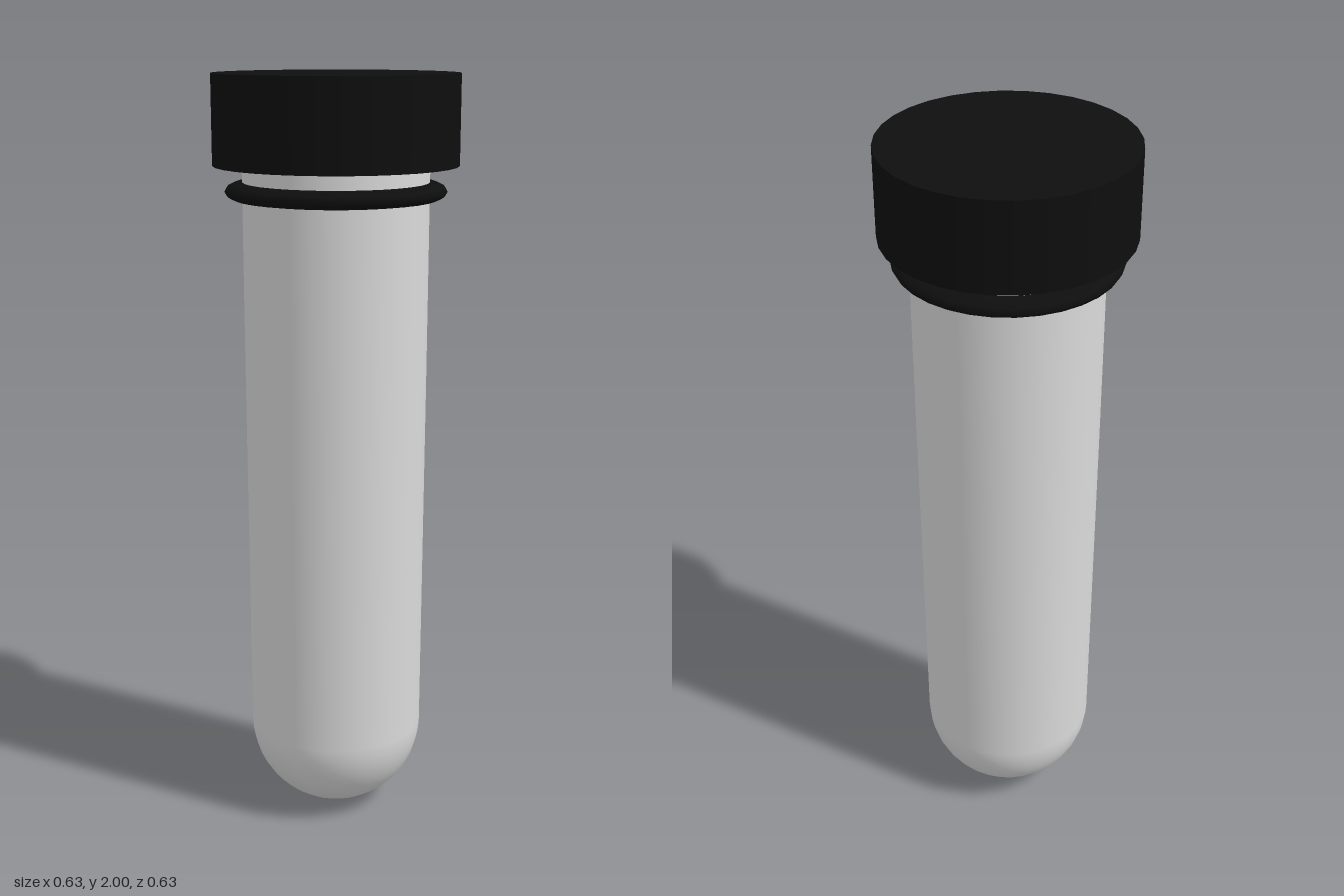
import * as THREE from 'three';

export function createModel() {
  const group = new THREE.Group();
  const black = new THREE.MeshStandardMaterial({ color: 0x0e0e0e });
  black.name = 'black plastic';
  const clear = new THREE.MeshStandardMaterial({ color: 0xdadada, side: THREE.DoubleSide });
  clear.name = 'pale plastic';

  const add = (name, geometry, material, y) => {
    const mesh = new THREE.Mesh(geometry, material);
    mesh.name = name;
    mesh.position.y = y;
    group.add(mesh);
    return mesh;
  };

  // Tube: hemispherical bottom, walls widening slightly up into the cap
  const radius = 0.235;
  const profile = [];
  for (let i = 0; i <= 12; i++) {
    const a = (i / 12) * Math.PI / 2;
    profile.push(new THREE.Vector2(radius * Math.sin(a), radius * (1 - Math.cos(a))));
  }
  profile.push(new THREE.Vector2(0.24, 1.2), new THREE.Vector2(0.242, 1.8));
  add('tube', new THREE.LatheGeometry(profile, 32), clear, 0);

  // Flattened collar ring below the cap
  const collar = new THREE.TorusGeometry(0.24, 0.047, 12, 32).rotateX(Math.PI / 2).scale(1, 0.5, 1);
  add('collar', collar, black, 1.705);

  // Screw cap
  add('cap', new THREE.CylinderGeometry(0.317, 0.317, 0.23, 32), black, 1.885);

  return group;
}
